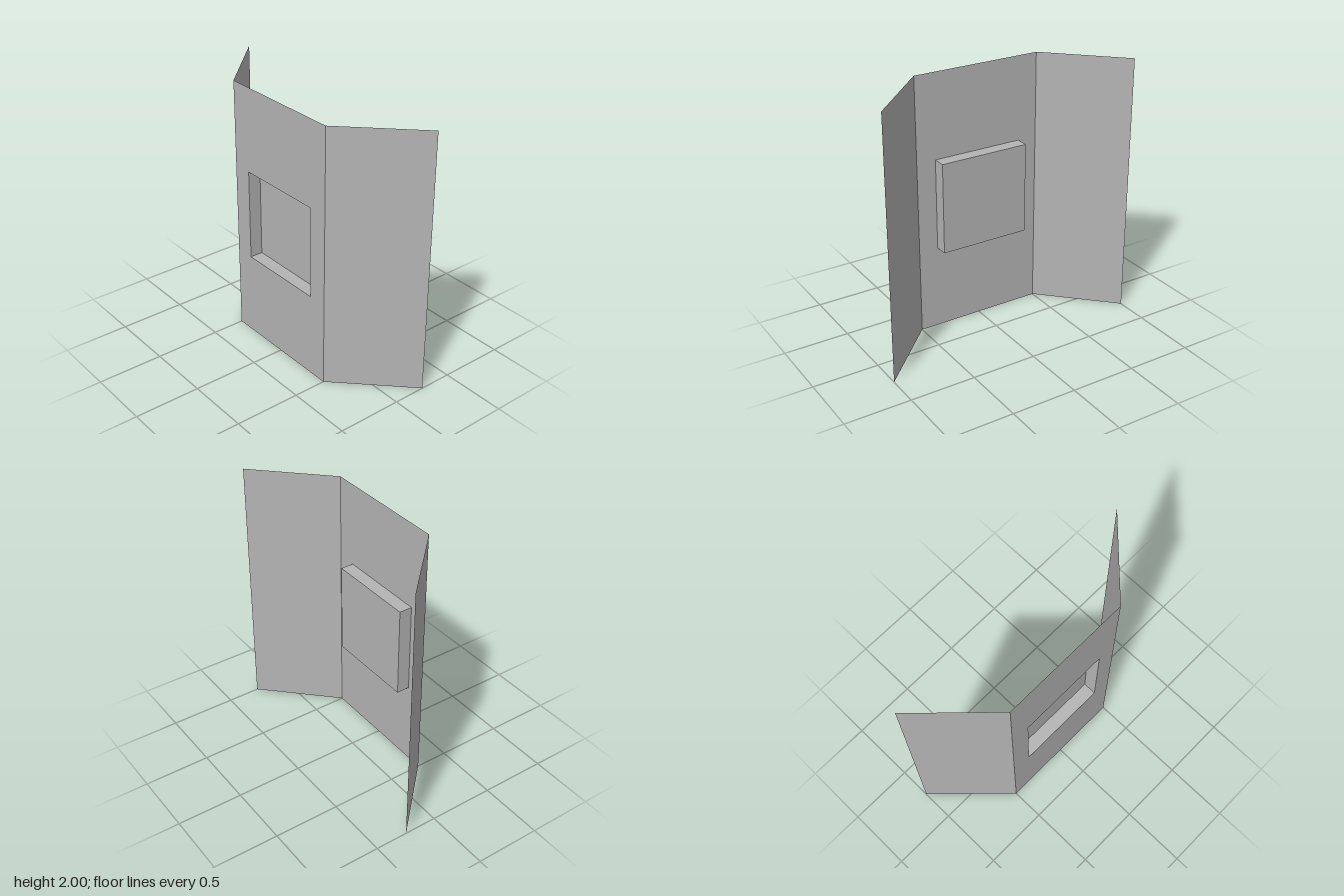
import * as THREE from 'three';

export function createModel() {
  const model = new THREE.Group();
  model.name = 'foldedPanel';
  const grey = new THREE.MeshStandardMaterial({ color: 0xb4b4b4, side: THREE.DoubleSide });
  grey.name = 'plain grey';

  const height = 2, frontZ = 0.25, half = 0.5;
  const pocket = 0.35, depth = 0.1, midY = height / 2;

  const add = (name, geometry, x, y, z) => {
    const mesh = new THREE.Mesh(geometry, grey);
    mesh.name = name;
    mesh.position.set(x, y, z);
    model.add(mesh);
    return mesh;
  };

  // Centre panel with a square opening
  const panel = new THREE.Shape([
    new THREE.Vector2(-half, 0), new THREE.Vector2(half, 0),
    new THREE.Vector2(half, height), new THREE.Vector2(-half, height),
  ]);
  panel.holes.push(new THREE.Path([
    new THREE.Vector2(-pocket, midY - pocket), new THREE.Vector2(-pocket, midY + pocket),
    new THREE.Vector2(pocket, midY + pocket), new THREE.Vector2(pocket, midY - pocket),
  ]));
  add('centrePanel', new THREE.ShapeGeometry(panel), 0, 0, frontZ);

  // Side wings folded back at 45 degrees
  for (const side of [-1, 1]) {
    const wing = add(side > 0 ? 'leftWing' : 'rightWing',
      new THREE.PlaneGeometry(Math.SQRT1_2, height), side * 0.75, midY, 0);
    wing.rotation.y = side * Math.PI / 4;
  }

  // Recessed pocket: back and four walls facing inward
  add('pocketBack', new THREE.PlaneGeometry(2 * pocket, 2 * pocket), 0, midY, frontZ - depth);
  ['pocketBottom', 'pocketLeft', 'pocketTop', 'pocketRight'].forEach((name, i) => {
    const wall = new THREE.PlaneGeometry(2 * pocket, depth)
      .rotateX(-Math.PI / 2)
      .translate(0, -pocket, 0)
      .rotateZ(i * Math.PI / 2);
    add(name, wall, 0, midY, frontZ - depth / 2);
  });

  return model;
}
